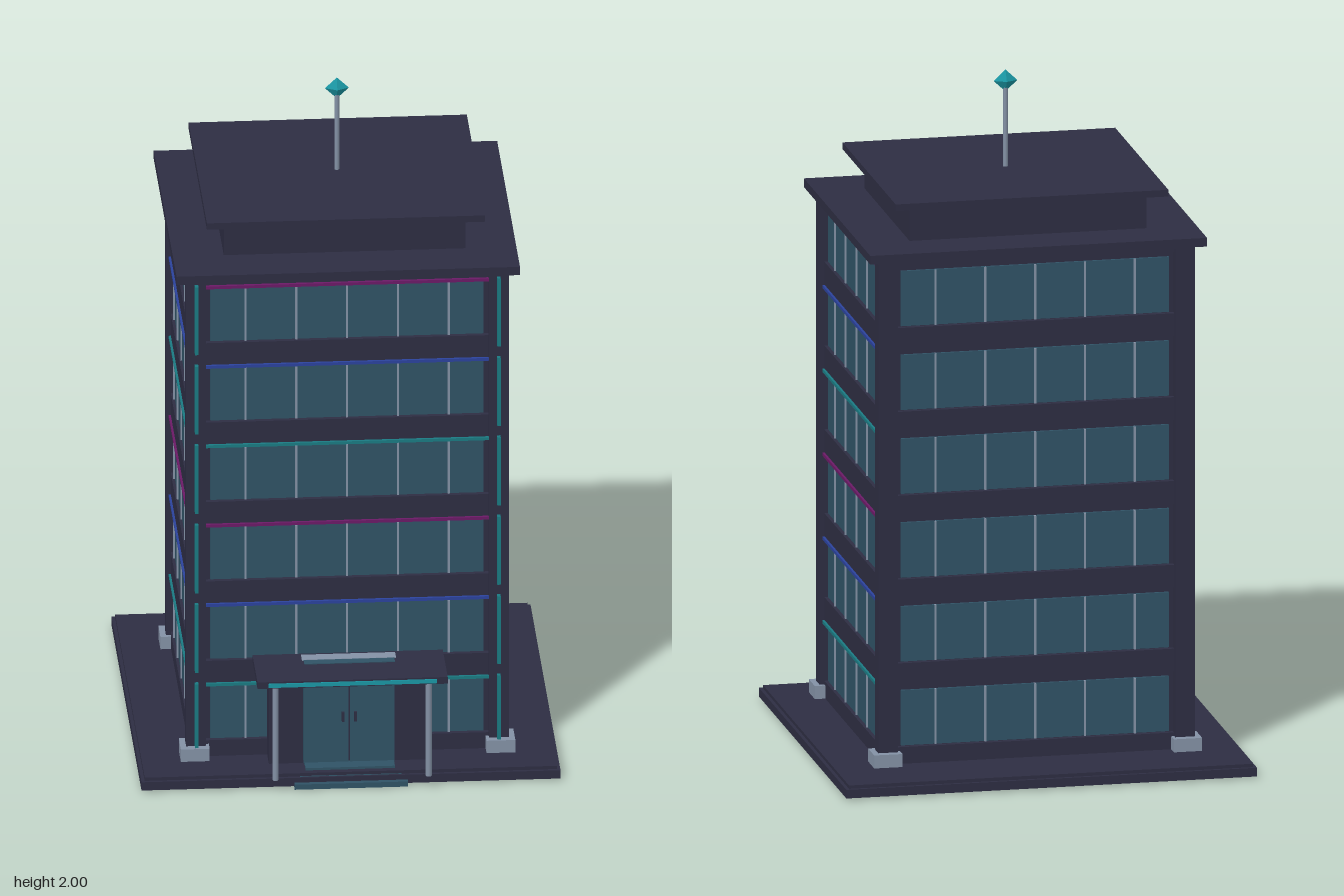
import * as THREE from 'three';

const mat = (name, color, side = THREE.FrontSide) => {
  const m = new THREE.MeshStandardMaterial({ color, side });
  m.name = name;
  return m;
};

export function createModel() {
  const dark = mat('dark concrete', 0x2d2d42);
  const glass = mat('window glass', 0x2f5265);
  const metal = mat('pale metal', 0x8391a5);
  const teal = mat('teal light', 0x1a96a3);
  const tealLine = mat('teal trim', 0x1a7a82);
  const blue = mat('blue trim', 0x2b429c);
  const magenta = mat('magenta trim', 0x6b1a66);

  const model = new THREE.Group();
  model.name = 'officeTower';

  // Box given by its centre x/z, bottom and top heights, and width/depth
  const box = (name, material, x, z, y0, y1, w, d, parent = model) => {
    const mesh = new THREE.Mesh(new THREE.BoxGeometry(w, y1 - y0, d), material);
    mesh.position.set(x, (y0 + y1) / 2, z);
    mesh.name = name;
    parent.add(mesh);
    return mesh;
  };

  // Stepped base slab
  box('baseSlab', dark, 0, -0.035, 0.008, 0.034, 1.22, 1.21);
  box('basePaving', dark, 0, -0.035, 0.034, 0.044, 1.2, 1.19);

  // Building core
  box('core', dark, 0, 0, 0.044, 1.56, 0.88, 0.8);

  // Corner columns with pale footings
  for (const sx of [-1, 1]) {
    for (const sz of [-1, 1]) {
      box('cornerColumn', dark, sx * 0.441, sz * 0.406, 0.044, 1.56, 0.058, 0.048);
      box('columnFooting', metal, sx * 0.445, sz * 0.411, 0.044, 0.083, 0.084, 0.084);
    }
  }

  // Six floors of windows, ledges and coloured trim lines
  const pitch = 0.2515;
  const trims = [tealLine, blue, magenta];
  const faces = [
    { name: 'front', angle: 0, dist: 0.4, half: 0.412, shift: 0, trim: true },
    { name: 'rightSide', angle: Math.PI / 2, dist: 0.44, half: 0.382, shift: 0.035, trim: true },
    { name: 'back', angle: Math.PI, dist: 0.4, half: 0.412, shift: 0, trim: false },
    { name: 'leftSide', angle: -Math.PI / 2, dist: 0.44, half: 0.382, shift: -0.035, trim: true },
  ];
  for (const f of faces) {
    const facade = new THREE.Group();
    facade.name = f.name + 'Facade';
    facade.rotation.y = f.angle;
    model.add(facade);
    for (let i = 0; i < 6; i++) {
      const y = i * pitch;
      box('windowBand', glass, 0, f.dist + 0.004, 0.097 + y, 0.262 + y, (f.half - 0.014) * 2, 0.008, facade);
      for (let k = -2; k <= 2; k++) {
        box('mullion', metal, k * 0.148 + f.shift, f.dist + 0.007, 0.097 + y, 0.262 + y, 0.006, 0.012, facade);
      }
      const ledgeLow = i === 0 ? 0.044 : 0.277 + y - pitch;
      box('floorLedge', dark, 0, f.dist + 0.008, ledgeLow, 0.094 + y, f.half * 2, 0.016, facade);
      if (f.trim) {
        box('trimLine', trims[i % 3], 0, f.dist + 0.011, 0.267 + y, 0.276 + y, f.half * 2, 0.022, facade);
      }
    }
    box('topLedge', dark, 0, f.dist + 0.008, 1.535, 1.56, f.half * 2, 0.016, facade);
  }

  // Vertical light strips on the front columns
  for (const sx of [-1, 1]) {
    for (let i = 0; i < 6; i++) {
      box('lightStrip', tealLine, sx * 0.44, 0.438, 0.07 + i * pitch, 0.285 + i * pitch, 0.01, 0.016);
    }
  }

  // Roof slab, plant room and its cover
  box('roofSlab', dark, 0, 0, 1.558, 1.584, 1.0, 0.92);
  box('plantRoom', dark, 0, 0, 1.584, 1.683, 0.704, 0.626);
  box('roofCover', dark, 0, 0, 1.69, 1.71, 0.81, 0.736);

  // Mast with a diamond beacon
  const mast = new THREE.Mesh(new THREE.CylinderGeometry(0.007, 0.007, 0.25, 8), metal);
  mast.position.y = 1.825;
  mast.name = 'mast';
  model.add(mast);
  const beacon = new THREE.Mesh(new THREE.OctahedronGeometry(1), teal);
  beacon.scale.set(0.035, 0.033, 0.019);
  beacon.position.y = 1.967;
  beacon.name = 'beacon';
  model.add(beacon);

  // Entrance: side walls, glass doors and handles
  for (const sx of [-1, 1]) {
    box('entranceWall', dark, sx * 0.183, 0.45, 0.044, 0.347, 0.1, 0.07);
    box('glassDoor', glass, sx * 0.067, 0.455, 0.044, 0.347, 0.129, 0.09);
    box('doorHandle', dark, sx * 0.018, 0.503, 0.18, 0.21, 0.008, 0.01);
    const post = new THREE.Mesh(new THREE.CylinderGeometry(0.009, 0.009, 0.3, 8), metal);
    post.position.set(sx * 0.223, 0.198, 0.612);
    post.name = 'canopyPost';
    model.add(post);
  }
  box('doorCore', dark, 0, 0.45, 0.044, 0.347, 0.01, 0.088);

  // Canopy with a light strip and a glazed top panel
  box('canopy', dark, 0, 0.535, 0.347, 0.368, 0.554, 0.2);
  box('canopyLight', teal, 0, 0.636, 0.351, 0.363, 0.49, 0.006);
  box('canopyPlate', metal, 0, 0.468, 0.366, 0.371, 0.274, 0.038);
  box('canopyGlazing', glass, 0, 0.501, 0.366, 0.37, 0.264, 0.028);

  // Entrance steps
  for (let i = 0; i < 3; i++) {
    box('step', glass, 0, 0.53 - i * 0.012, 0.003 + i * 0.016, 0.019 + i * 0.016, 0.33 - i * 0.035, 0.11 - i * 0.02);
  }

  return model;
}
